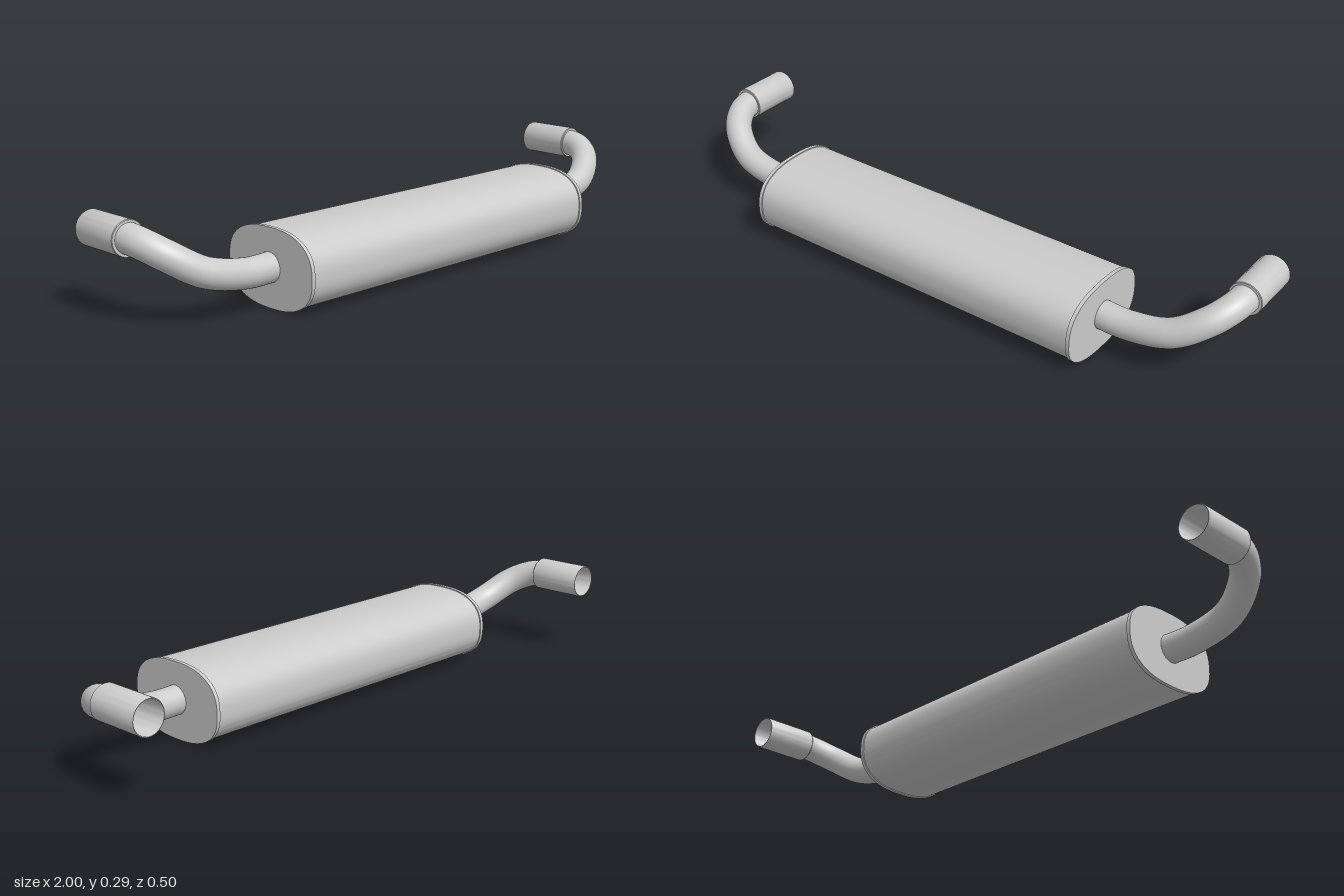
import * as THREE from 'three';
import { toCreasedNormals } from 'three/addons/utils/BufferGeometryUtils.js';

const CY = 0.1175, CZ = 0.076; // axis of the muffler body
const material = new THREE.MeshStandardMaterial({ color: 0xcccccc });
const openMaterial = new THREE.MeshStandardMaterial({ color: 0xcccccc, side: THREE.DoubleSide });

function part(name, geometry, mat = material) {
  const mesh = new THREE.Mesh(geometry, mat);
  mesh.name = name;
  return mesh;
}

// Rounded oval (superellipse) prism along x, centred on x = x0
function ovalPrism(halfWidth, halfHeight, length, x0) {
  const points = [];
  const power = (v) => Math.sign(v) * Math.abs(v) ** (2 / 2.5);
  for (let i = 0; i < 72; i++) {
    const a = (i / 72) * Math.PI * 2;
    points.push(new THREE.Vector2(halfWidth * power(Math.cos(a)), halfHeight * power(Math.sin(a))));
  }
  const geometry = new THREE.ExtrudeGeometry(new THREE.Shape(points), { depth: length, bevelEnabled: false });
  geometry.translate(0, 0, -length / 2).rotateY(Math.PI / 2).translate(x0, CY, CZ);
  return toCreasedNormals(geometry, 0.6);
}

// Bent outlet pipe with its wider open tip, on the +x side
function createOutlet() {
  const outlet = new THREE.Group();
  const path = new THREE.CatmullRomCurve3([
    [0.57, 0.12, CZ], [0.68, 0.12, CZ], [0.81, 0.148, 0.068], [0.9, 0.203, 0.022],
    [0.937, 0.232, -0.035], [0.946, 0.24, -0.08], [0.946, 0.24, -0.1],
  ].map((p) => new THREE.Vector3(...p)));
  outlet.add(part('outletPipe', new THREE.TubeGeometry(path, 64, 0.044, 32), openMaterial));

  // Sleeve profile: shoulder, outer wall, rounded lip, inner wall
  const profile = [
    [0.043, 0], [0.051, 0], [0.0525, 0.002], [0.0525, 0.172], [0.051, 0.175],
    [0.0495, 0.175], [0.0485, 0.173], [0.0485, 0.004], [0.043, 0.004],
  ].map((p) => new THREE.Vector2(...p));
  const tip = new THREE.LatheGeometry(profile, 40);
  tip.rotateX(-Math.PI / 2).translate(0.9475, 0.24, -0.077);
  outlet.add(part('outletTip', toCreasedNormals(tip, 0.6), openMaterial));
  return outlet;
}

export function createModel() {
  const model = new THREE.Group();
  model.name = 'exhaustMuffler';

  model.add(part('mufflerBody', ovalPrism(0.173, 0.1145, 1.17, 0)));

  // Raised end rims and outlets, mirrored left and right
  for (const side of [1, -1]) {
    const label = side > 0 ? 'left' : 'right';
    model.add(part(label + 'EndRim', ovalPrism(0.1765, 0.1175, 0.012, side * 0.586)));
    const outlet = createOutlet();
    outlet.name = label + 'Outlet';
    outlet.scale.x = side;
    model.add(outlet);
  }
  return model;
}
